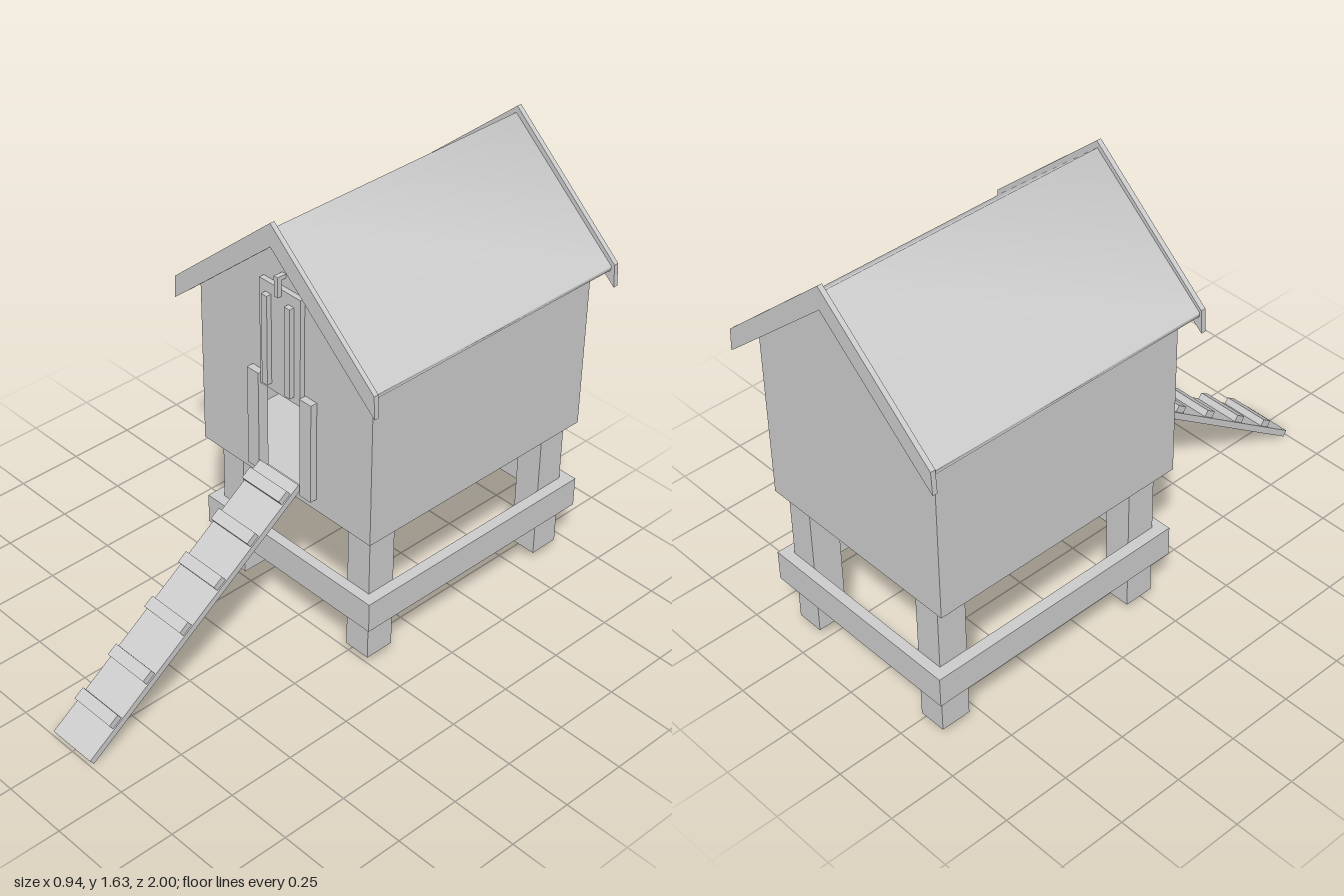
import * as THREE from 'three';

export function createModel() {
  const model = new THREE.Group();
  const grey = new THREE.MeshStandardMaterial({ color: 0xcccccc, side: THREE.DoubleSide });

  const add = (name, geometry, parent = model) => {
    const mesh = new THREE.Mesh(geometry, grey);
    mesh.name = name;
    parent.add(mesh);
    return mesh;
  };
  // Box given by its limits on each axis
  const box = (name, x0, x1, y0, y1, z0, z1, parent = model) => {
    const mesh = add(name, new THREE.BoxGeometry(x1 - x0, y1 - y0, z1 - z0), parent);
    mesh.position.set((x0 + x1) / 2, (y0 + y1) / 2, (z0 + z1) / 2);
    return mesh;
  };
  const shapeOf = (points) => new THREE.Shape(points.map(([x, y]) => new THREE.Vector2(x, y)));
  const slab = (name, shape, z, depth, parent = model) => {
    const mesh = add(name, new THREE.ExtrudeGeometry(shape, { depth, bevelEnabled: false }), parent);
    mesh.position.z = z;
    return mesh;
  };

  // House and stand sit slightly off the centre line
  const coop = new THREE.Group();
  coop.name = 'coop';
  coop.position.x = -0.003;
  model.add(coop);

  // Hollow house: two gable walls, two side walls and a floor
  const W = 0.405, T = 0.015, FRONT = 0.06, BACK = -0.94, BASE = 0.58, EAVE = 1.243;
  const gable = () => shapeOf([[-W, BASE], [W, BASE], [W, EAVE], [0, 1.59], [-W, EAVE]]);
  const frontShape = gable();
  frontShape.holes.push(shapeOf([[-0.098, 0.625], [-0.098, 1], [0.098, 1], [0.098, 0.625]]));
  slab('frontWall', frontShape, FRONT - T, T, coop);
  slab('backWall', gable(), BACK, T, coop);
  for (const s of [-1, 1]) {
    const x = s * (W - T / 2);
    box('sideWall', x - T / 2, x + T / 2, BASE, EAVE, BACK + T, FRONT - T, coop);
  }
  box('floor', -W + T, W - T, BASE, 0.61, BACK + T, FRONT - T, coop);

  // Roof sheet: closed profile swept front to back, softly shaded over the ridge
  const profile = [[0.455, 1.205], [0.455, 1.22], [0, 1.61], [-0.455, 1.22], [-0.455, 1.205], [0, 1.592]];
  const positions = [], index = [];
  const n = profile.length;
  profile.forEach(([x, y], i) => {
    positions.push(x, y, 0.105, x, y, -0.985);
    const a = 2 * i, b = 2 * ((i + 1) % n);
    index.push(a, a + 1, b, b, a + 1, b + 1);
  });
  const roof = new THREE.BufferGeometry();
  roof.setAttribute('position', new THREE.Float32BufferAttribute(positions, 3));
  roof.setIndex(index);
  roof.computeVertexNormals();
  add('roof', roof, coop);

  // Barge boards on both gables
  const barge = [[0, 1.635], [-0.465, 1.23], [-0.47, 1.145], [-0.405, 1.2],
    [0, 1.55], [0.405, 1.2], [0.47, 1.145], [0.465, 1.23]];
  for (const z of [0.102, -1]) slab('bargeBoard', shapeOf(barge), z, 0.018);

  // Sliding door, raised, with its guide rails, battens and pull
  for (const s of [-1, 1]) {
    const rail = s * 0.125;
    box('doorRail', rail - 0.027, rail + 0.027, 0.625, 1.012, FRONT, 0.086, coop);
    const batten = s * 0.053;
    box('doorBatten', batten - 0.013, batten + 0.013, 1.0, 1.34, 0.078, 0.098, coop);
  }
  box('door', -0.095, 0.095, 0.975, 1.38, FRONT, 0.079, coop);
  box('doorPull', -0.009, 0.009, 1.355, 1.43, 0.079, 0.095, coop);
  box('doorPullHook', -0.009, 0.009, 1.415, 1.43, FRONT, 0.095, coop);

  // Square legs, open at the bottom
  for (const x of [-0.31, 0.31]) {
    for (const z of [-0.04, -0.863]) {
      const tube = new THREE.CylinderGeometry(Math.SQRT1_2, Math.SQRT1_2, 1, 4, 1, true);
      tube.rotateY(Math.PI / 4);
      const flat = tube.toNonIndexed();
      flat.scale(0.102, 0.535, 0.112);
      flat.computeVertexNormals();
      add('leg', flat, coop).position.set(x, 0.3125, z);
    }
  }

  // Brace boards around the legs
  const B0 = 0.21, B1 = 0.325;
  box('frontBrace', -0.403, 0.403, B0, B1, 0.016, 0.055, coop);
  box('backBrace', -0.403, 0.403, B0, B1, -0.957, -0.919, coop);
  box('rightBrace', -0.403, -0.361, B0, B1, -0.919, 0.016, coop);
  box('leftBrace', 0.361, 0.403, B0, B1, -0.919, 0.016, coop);

  // Ramp with cleats, built along +z and tilted down to the ground
  const ramp = new THREE.Group();
  ramp.name = 'ramp';
  ramp.position.set(-0.003, 0.0105, 0.992);
  ramp.rotation.x = Math.atan2(0.645, 0.913);
  model.add(ramp);
  box('rampBoard', -0.095, 0.095, -0.0125, 0.0125, -1.118, 0, ramp);
  for (const s of [0.149, 0.327, 0.523, 0.706, 0.884, 1.055]) {
    box('rampCleat', -0.09, 0.09, 0.0125, 0.0375, -s - 0.022, -s + 0.022, ramp);
  }

  return model;
}
